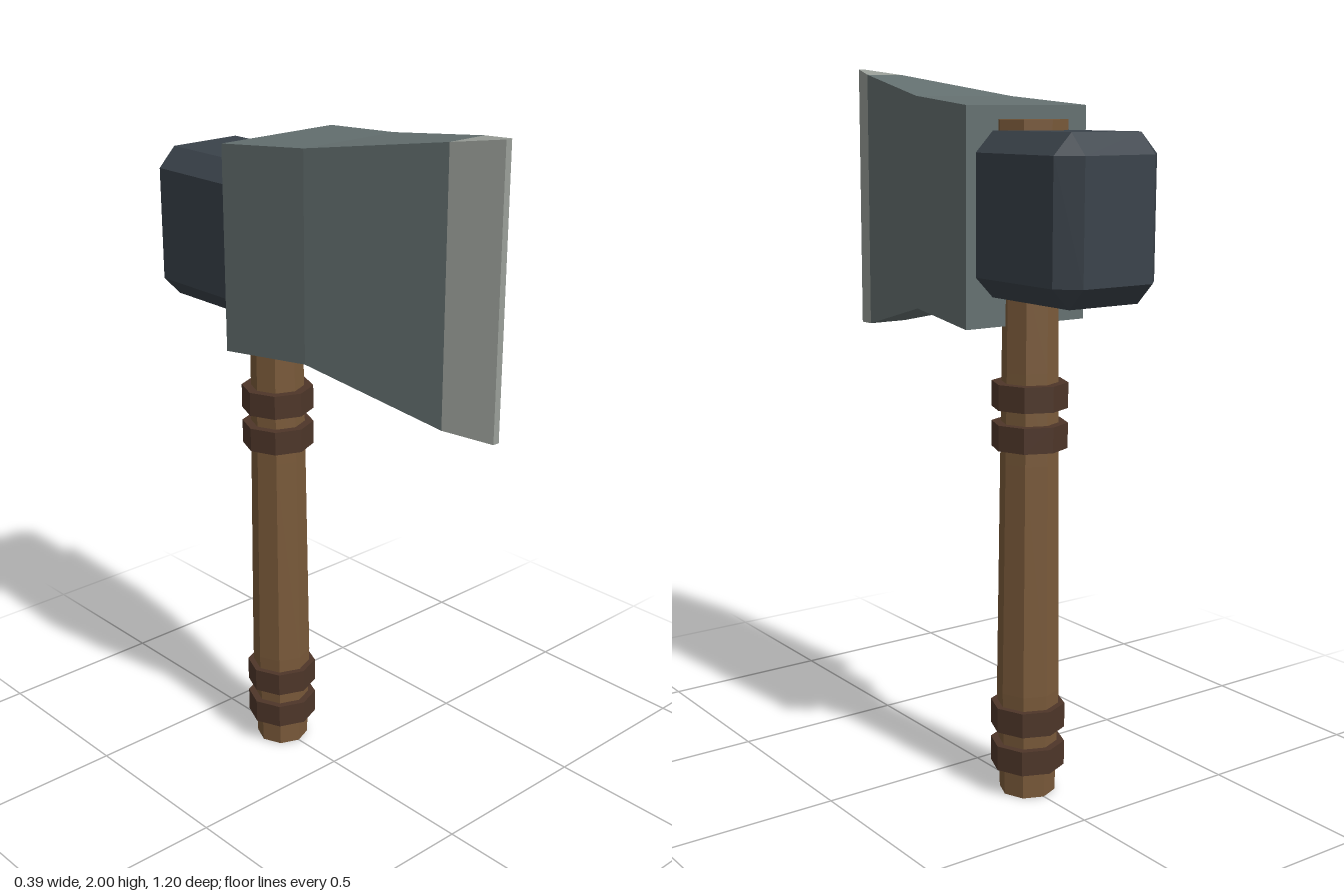
import * as THREE from 'three';
import { ConvexGeometry } from 'three/addons/geometries/ConvexGeometry.js';

const mat = (color) => new THREE.MeshStandardMaterial({ color, flatShading: true });
const wood = mat(0x7a5a3a), leather = mat(0x4e3629);
const steel = mat(0x647070), honed = mat(0x9a9f99), iron = mat(0x3a424a);
const HANDLE_Z = -0.243;

// Solid through rectangular sections [z, halfWidth, bottom, top], back to front
function loft(sections) {
  const pos = [], idx = [];
  for (const [z, w, y0, y1] of sections) pos.push(w, y0, z, w, y1, z, -w, y1, z, -w, y0, z);
  const last = (sections.length - 1) * 4;
  for (let s = 0; s < last; s += 4) {
    for (let j = 0; j < 4; j++) {
      const k = (j + 1) % 4;
      idx.push(s + j, s + k, s + 4 + k, s + j, s + 4 + k, s + 4 + j);
    }
  }
  idx.push(0, 2, 1, 0, 3, 2, last, last + 1, last + 2, last, last + 2, last + 3);
  const g = new THREE.BufferGeometry();
  g.setAttribute('position', new THREE.Float32BufferAttribute(pos, 3));
  g.setIndex(idx);
  const flat = g.toNonIndexed();
  flat.computeVertexNormals();
  return flat;
}

// Box chamfered on its long edges and its back end
function hammerGeometry(w, h, zFront, zBack, cx, cy) {
  const pts = [];
  for (const sx of [-1, 1]) {
    for (const sy of [-1, 1]) {
      for (const z of [zFront, zBack + cx]) {
        pts.push(new THREE.Vector3(sx * w, sy * (h - cy), z));
        pts.push(new THREE.Vector3(sx * (w - cx), sy * h, z));
      }
      pts.push(new THREE.Vector3(sx * (w - cx), sy * (h - cy), zBack));
    }
  }
  return new ConvexGeometry(pts);
}

export function createModel() {
  const group = new THREE.Group();
  const add = (name, geometry, material, x = 0, y = 0, z = 0) => {
    const mesh = new THREE.Mesh(geometry, material);
    mesh.name = name;
    mesh.position.set(x, y, z);
    group.add(mesh);
    return mesh;
  };

  // Eight-sided wooden handle, slightly swollen low down
  const profile = [[0, 0], [0.078, 0], [0.087, 0.3], [0.08, 0.95], [0.077, 1.2], [0.075, 1.45], [0, 1.45]];
  add('handle', new THREE.LatheGeometry(profile.map(([r, y]) => new THREE.Vector2(r, y)), 8),
    wood, 0, 0, HANDLE_Z);

  // Flared end of the handle showing above the head
  const top = add('handleTop', new THREE.CylinderGeometry(0.089, 0.075, 0.46, 8), wood, 0, 1.63, HANDLE_Z);
  top.scale.x = 1.15;

  // Leather bands, a pair at each end of the grip
  for (const y of [0.113, 0.225, 1.025, 1.135]) {
    add('gripBand', new THREE.CylinderGeometry(0.104, 0.104, 0.07, 8), leather, 0, y, HANDLE_Z);
  }

  // Blade tapering forward, and its pale cutting edge
  const edgeStart = [0.47, 0.061, 1.25, 1.982];
  add('blade', loft([[-0.225, 0.196, 1.322, 1.896], [0.06, 0.16, 1.346, 1.92], edgeStart]), steel);
  add('cuttingEdge', loft([edgeStart, [0.602, 0.01, 1.236, 2]]), honed);

  // Hammer poll behind the blade
  add('hammerHead', hammerGeometry(0.165, 0.215, -0.15, -0.6, 0.054, 0.055), iron, 0, 1.617, 0);

  return group;
}
